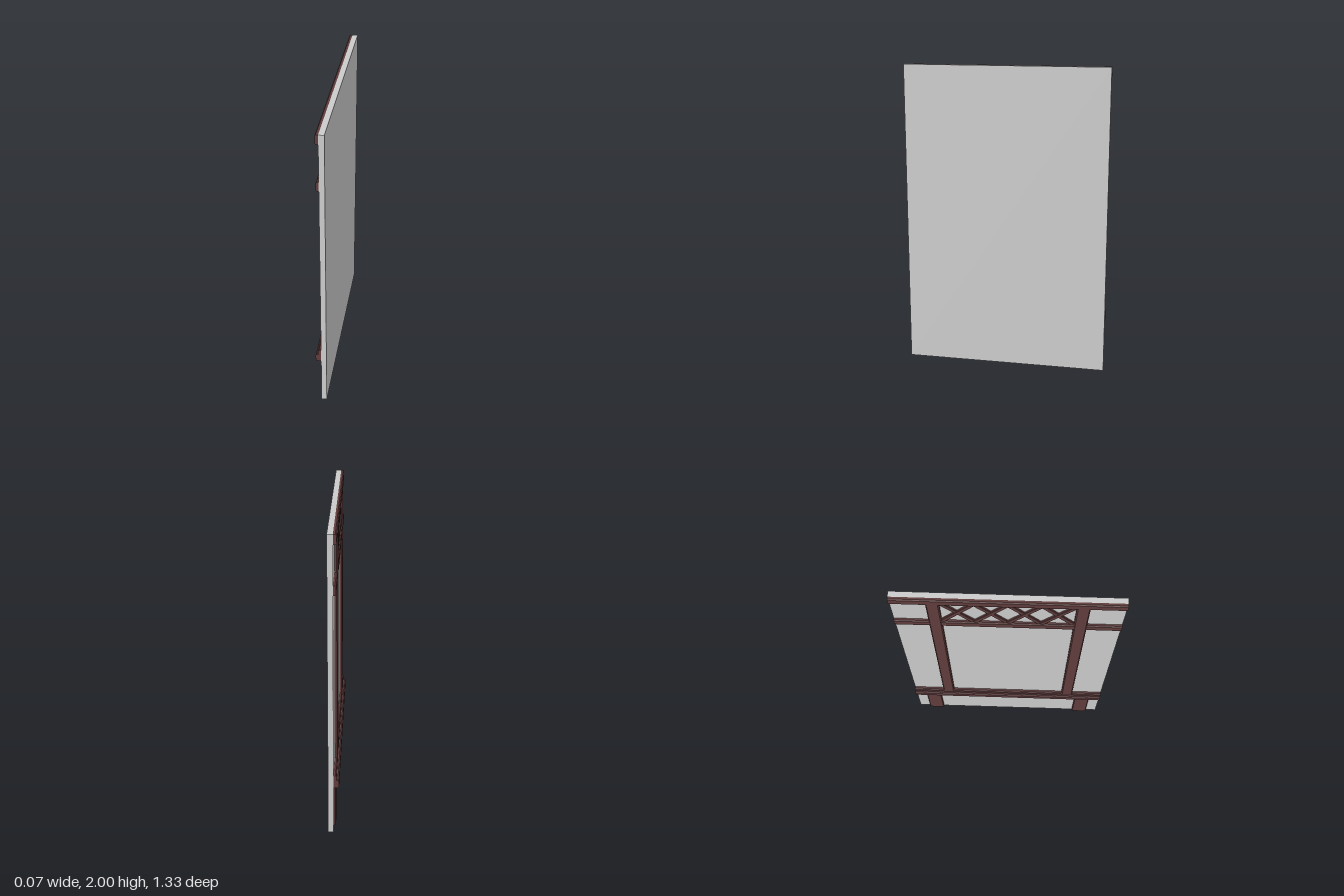
import * as THREE from 'three';

export function createModel() {
  const model = new THREE.Group();
  const wallMat = new THREE.MeshStandardMaterial({ color: 0xcccccc });
  const woodMat = new THREE.MeshStandardMaterial({ color: 0x603c3c });

  // Chamfered timber lying on the wall face (x = 0), between two [z, y] points
  function timber(name, [z1, y1], [z2, y2], width, depth, bevel) {
    const w = width / 2;
    const profile = new THREE.Shape([
      [-w, 0], [w, 0], [w, depth - bevel], [w - bevel, depth],
      [-w + bevel, depth], [-w, depth - bevel],
    ].map(([x, y]) => new THREE.Vector2(x, y)));
    const length = Math.hypot(z2 - z1, y2 - y1);
    const geo = new THREE.ExtrudeGeometry(profile, { depth: length, bevelEnabled: false });
    geo.translate(0, 0, -length / 2);
    const mesh = new THREE.Mesh(geo, woodMat);
    mesh.name = name;
    mesh.rotation.set(-Math.atan2(y2 - y1, z2 - z1), 0, Math.PI / 2);
    mesh.position.set(0, (y1 + y2) / 2, (z1 + z2) / 2);
    model.add(mesh);
  }

  // Plain wall slab
  const wall = new THREE.Mesh(new THREE.BoxGeometry(0.034, 2, 1.333), wallMat);
  wall.name = 'wallPanel';
  wall.position.set(0.017, 1, 0);
  model.add(wall);

  // Horizontal rails, full width
  const end = 0.6665;
  const rails = [
    ['topRail', 1.97, 0.06, 0.02, 0.007],
    ['upperRail', 1.67, 0.06, 0.018, 0.007],
    ['sillStrip', 0.415, 0.04, 0.019, 0.007],
    ['baseRail', 0.372, 0.056, 0.035, 0.008],
  ];
  for (const [name, y, width, depth, bevel] of rails) {
    timber(name, [-end, y], [end, y], width, depth, bevel);
  }

  // Mirrored stiles and short legs
  for (const s of [-1, 1]) {
    timber('stile', [s * 0.423, 0.42], [s * 0.423, 1.95], 0.077, 0.02, 0.007);
    timber('leg', [s * 0.54, 0], [s * 0.54, 0.36], 0.105, 0.012, 0.005);
  }

  // Lattice of four crosses between the stiles
  const count = 4, half = 0.385, step = (2 * half) / count;
  for (let i = 0; i < count; i++) {
    const a = -half + i * step, b = a + step;
    timber('latticeRising', [a, 1.695], [b, 1.945], 0.03, 0.012, 0.003);
    timber('latticeFalling', [a, 1.945], [b, 1.695], 0.03, 0.011, 0.003);
  }
  return model;
}
